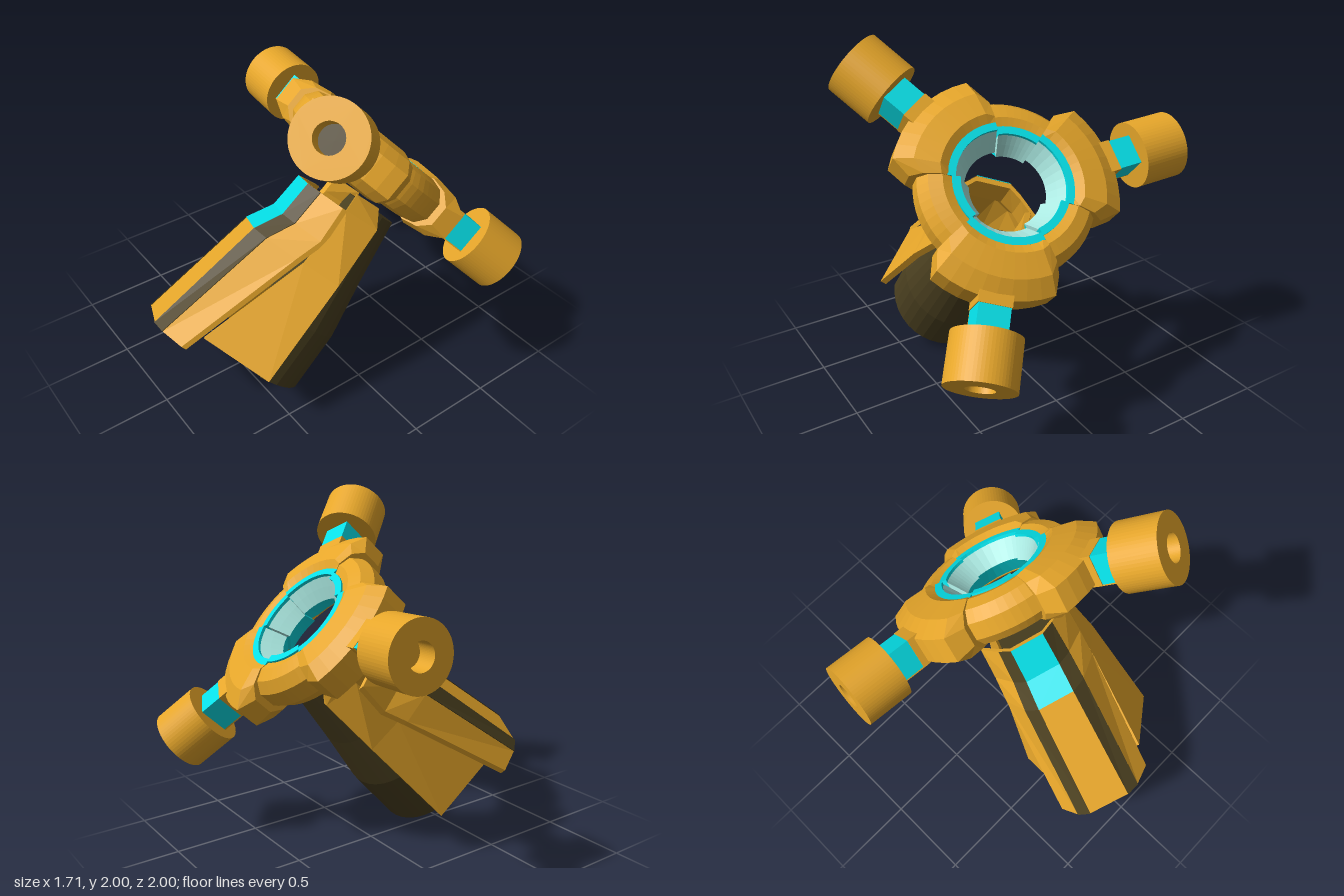
import * as THREE from 'three';

const mat = (name, color) => {
  const m = new THREE.MeshStandardMaterial({ color });
  m.name = name;
  return m;
};

// Closed faceted solid through equal-length loops of points
function loft(loops) {
  const tris = [], n = loops[0].length, last = loops.length - 1;
  for (let i = 0; i < last; i++) {
    for (let j = 0; j < n; j++) {
      const k = (j + 1) % n;
      const a = loops[i][j], b = loops[i][k], c = loops[i + 1][k], d = loops[i + 1][j];
      tris.push([a, b, c], [a, c, d]);
    }
  }
  for (let j = 1; j < n - 1; j++) {
    tris.push([loops[0][0], loops[0][j + 1], loops[0][j]]);
    tris.push([loops[last][0], loops[last][j], loops[last][j + 1]]);
  }
  // Turn the solid right side out
  const cross = new THREE.Vector3();
  const volume = tris.reduce((s, [a, b, c]) => s + a.dot(cross.crossVectors(b, c)), 0);
  const points = tris.flatMap(([a, b, c]) => (volume < 0 ? [a, c, b] : [a, b, c]));
  const g = new THREE.BufferGeometry().setFromPoints(points);
  g.computeVertexNormals();
  return g;
}

export function createModel() {
  const root = new THREE.Group();
  const gold = mat('gold shell', 0xe6a62a);
  const cyan = mat('cyan trim', 0x04e0e8);
  const pale = mat('pale lining', 0xaeeee6);
  const dark = mat('dark olive', 0x4b4020);

  const add = (parent, name, geometry, material) => {
    const mesh = new THREE.Mesh(geometry, material);
    mesh.name = name;
    parent.add(mesh);
    return mesh;
  };
  const frame = (name, x, y, z, origin) => {
    const g = new THREE.Group();
    g.name = name;
    const axes = [x, y, z].map(a => new THREE.Vector3(...a).normalize());
    new THREE.Matrix4().makeBasis(...axes).setPosition(...origin)
      .decompose(g.position, g.quaternion, g.scale);
    root.add(g);
    return g;
  };

  // ---- Tilted ring: local z points down and forward ----
  const ring = frame('ring', [0.995, -0.07, 0.07], [0, 0.7071, 0.7071], [-0.099, -0.7035, 0.7035], [0.187, 1.24, -0.262]);
  const rad = Math.PI / 180;
  const place = (profile, deg) => profile.map(([r, h]) =>
    new THREE.Vector3(r * Math.cos(deg * rad), r * Math.sin(deg * rad), -h));
  const thin = [[0.3, 0.11], [0.36, 0.13], [0.43, 0.11], [0.475, 0.05]];
  const thick = [[0.325, 0.12], [0.38, 0.15], [0.51, 0.13], [0.605, 0.075]];
  const shell = k => {
    const half = thin.map(([r, h], i) => [r + (thick[i][0] - r) * k, h + (thick[i][1] - h) * k]);
    return [...half, ...half.map(([r, h]) => [r, -h]).reverse()];
  };
  const spread = (halfAngle, steps) =>
    Array.from({ length: steps + 1 }, (_, i) => halfAngle * (2 * i / steps - 1));
  const lining = (name, centre, halfAngle, shift) => {
    const angles = spread(halfAngle, 8);
    const sweep = (part, section, material) => add(ring, name + part,
      loft(angles.map(a => place(section.map(([r, h]) => [r + shift, h]), centre + a))), material);
    sweep('Rim', [[0.31, 0.125], [0.268, 0.125], [0.268, 0], [0.31, 0]], cyan);
    sweep('UpperLining', [[0.27, 0.11], [0.235, 0.06], [0.195, 0], [0.27, 0]], pale);
    sweep('LowerLining', [[0.31, 0], [0.195, 0], [0.305, -0.12]], cyan);
  };

  const bored = new THREE.Shape().absarc(0, 0, 0.183, 0, Math.PI * 2, false);
  bored.holes.push(new THREE.Path().absarc(0, 0, 0.075, 0, Math.PI * 2, true));
  const pod = new THREE.ExtrudeGeometry(bored, { depth: 0.262, bevelEnabled: false, curveSegments: 32 })
    .rotateY(Math.PI / 2).translate(0.767, 0, 0);
  const plug = new THREE.CylinderGeometry(0.076, 0.076, 0.144, 32)
    .rotateZ(-Math.PI / 2).translate(0.838, 0, 0);

  [60, 180, 300].forEach((deg, i) => {
    // Thick segment with chamfered ends, then a thin one after it
    const stations = [[-37.5, 0.3], ...spread(30, 8).map(a => [a, 1]), [37.5, 0.3]];
    add(ring, 'thickSegment', loft(stations.map(([a, k]) => place(shell(k), deg + a))), gold);
    add(ring, 'thinSegment', loft(spread(22.5, 8).map(a => place(shell(0), deg + 60 + a))), gold);
    lining('thick', deg, 37.5, 0.025);
    lining('thin', deg + 60, 22.5, 0);

    // Arm with a bored round pod
    const arm = new THREE.Group();
    arm.name = 'arm';
    arm.rotation.z = deg * rad;
    ring.add(arm);
    add(arm, 'collar', new THREE.BoxGeometry(0.1, 0.175, 0.18).translate(0.585, 0, 0), gold);
    add(arm, 'neck', new THREE.BoxGeometry(0.18, 0.165, 0.175).translate(0.69, 0, 0), cyan);
    add(arm, 'neckUnderside', new THREE.BoxGeometry(0.18, 0.165, 0.008).translate(0.69, 0, 0.09), gold);
    add(arm, 'pod', pod, gold);
    add(arm, 'borePlug', plug, i === 0 ? dark : gold);
  });

  // ---- Half-cone body: local z runs down the axis, y out of the flat side ----
  const body = frame('body', [0.885, 0.323, 0.335], [-0.465, 0.614, 0.637], [0, -0.72, 0.694], [0.175, 0.215, 0.54]);
  const drift = z => -0.085 * z;
  const coneStations = [[0, 0.325], [-0.36, 0.32], [-0.7, 0.265], [-1.07, 0.215]];
  add(body, 'halfCone', loft(coneStations.map(([z, r]) =>
    Array.from({ length: 19 }, (_, i) => {
      const a = Math.PI + Math.PI * i / 18;
      return new THREE.Vector3(drift(z) - 0.02 + r * Math.cos(a), r * Math.sin(a), z);
    }))), dark);

  // Front shield: each station holds z and three [half width, height] corners
  const shield = [
    [0.075, [0.125, 0.59], [0.2, 0.55], [0.285, 0.445]],
    [-0.645, [0.11, 0.435], [0.19, 0.375], [0.285, 0.21]],
    [-0.79, [0.105, 0.348], [0.18, 0.29], [0.28, 0.155]],
    [-1.0, [0.1, 0.33], [0.17, 0.27], [0.27, 0.16]],
  ];
  const strip = (name, from, to, material, stations = shield, lift = 0, depth = 0.03) =>
    add(body, name, loft(stations.map(s => {
      const [z] = s, c = drift(z) - 0.045;
      const [p, q] = [from(s), to(s)];
      return [[p[0], p[1] + lift], [q[0], q[1] + lift], [q[0], q[1] - depth], [p[0], p[1] - depth]]
        .map(([x, y]) => new THREE.Vector3(c + x, y, z));
    })), material);
  const corner = (i, side) => s => [side * s[i][0], s[i][1]];
  strip('shieldCentre', corner(1, -1), corner(1, 1), gold);
  strip('shieldBadge', corner(1, -1), corner(1, 1), cyan, shield.slice(1), 0.005, -0.001);
  for (const side of [-1, 1]) {
    strip('shieldShoulder', corner(1, side), corner(2, side), gold);
    strip('shieldStripe', corner(1, side), corner(2, side), dark, shield, 0.005, -0.001);
    strip('shieldWing', corner(2, side), corner(3, side), gold);
  }

  // Side plates: z, then upper and lower [half width, height]
  const plates = [
    [-0.03, [0.24, 0.365], [0.385, -0.02]],
    [-0.645, [0.225, 0.15], [0.29, -0.06]],
    [-1.0, [0.2, 0.12], [0.2, -0.09]],
    [-1.1, [0.19, 0.12], [0.165, -0.04]],
  ];
  for (const side of [-1, 1]) {
    add(body, side > 0 ? 'leftSidePlate' : 'rightSidePlate', loft(plates.map(([z, up, low]) =>
      [[up[0], up[1]], [low[0], low[1]], [low[0] + 0.035, low[1] + 0.012], [up[0] + 0.035, up[1] + 0.012]]
        .map(([x, y]) => new THREE.Vector3(drift(z) - 0.02 + side * x, y, z)))), gold);
  }
  return root;
}
